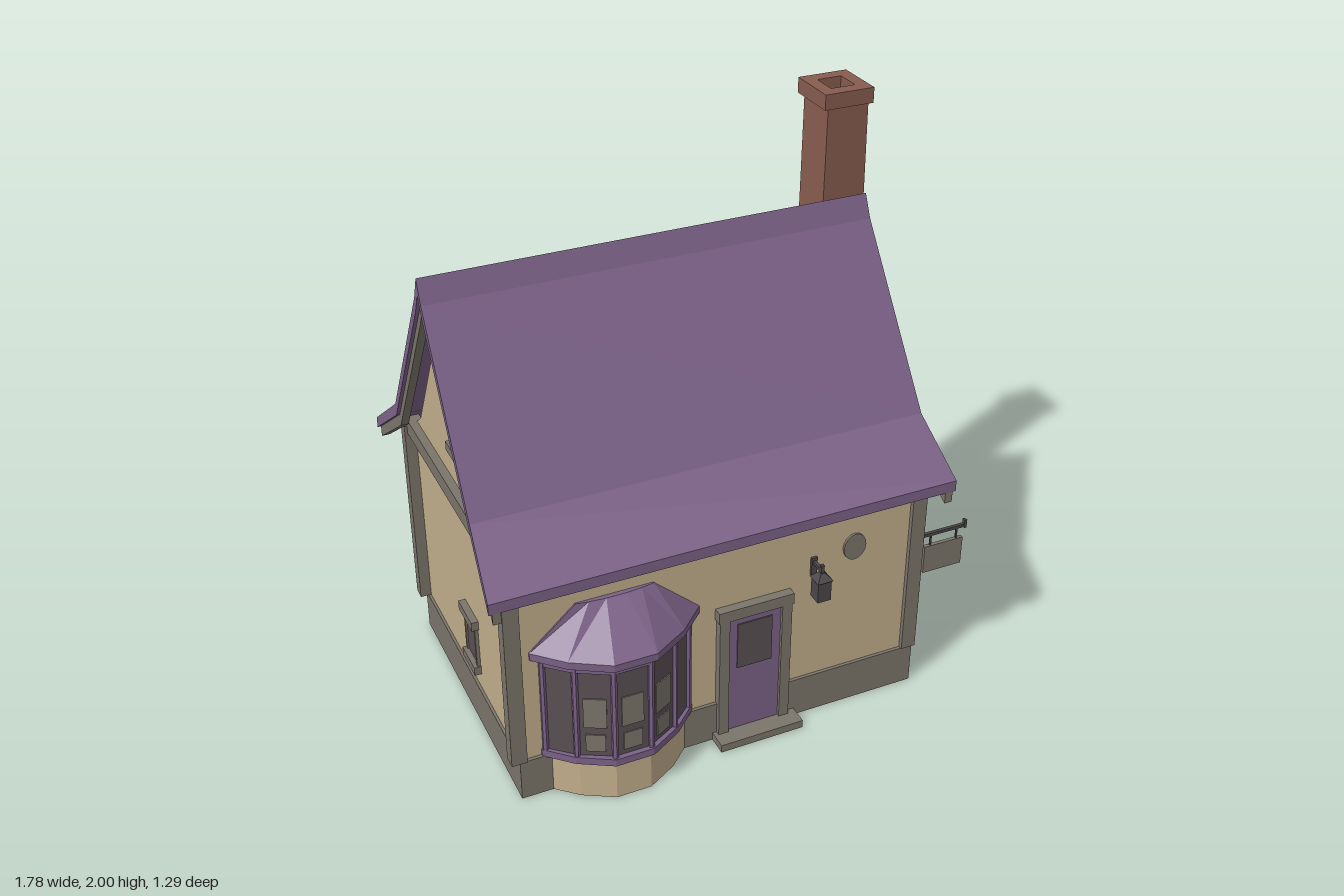
import * as THREE from 'three';

const mat = (name, color) => Object.assign(new THREE.MeshStandardMaterial({ color }), { name, flatShading: true });
const cream = mat('cream plaster', 0xc2ae8c);
const purple = mat('purple paint', 0x7b6187);
const stone = mat('grey stone', 0x7b756a);
const brick = mat('red brick', 0x875c4f);
const glass = mat('dark glass', 0x5a5054);
const iron = mat('dark iron', 0x4c474a);

// Closed solid from matching rings of [x, y, z] points, turned outward by its signed volume
function loft(rings) {
  const tris = [];
  const n = rings[0].length;
  for (let i = 0; i < rings.length - 1; i++) {
    for (let j = 0; j < n; j++) {
      const k = (j + 1) % n;
      const a = rings[i][j], b = rings[i][k], c = rings[i + 1][k], d = rings[i + 1][j];
      tris.push([a, b, c], [a, c, d]);
    }
  }
  const cap = (ring, flip) => {
    const mid = [0, 1, 2].map((q) => ring.reduce((s, p) => s + p[q], 0) / n);
    ring.forEach((p, j) => {
      const next = ring[(j + 1) % n];
      tris.push(flip ? [mid, next, p] : [mid, p, next]);
    });
  };
  cap(rings[0], true);
  cap(rings[rings.length - 1], false);
  const v = (p) => new THREE.Vector3(...p);
  const volume = tris.reduce((s, [a, b, c]) => s + v(a).dot(v(b).cross(v(c))), 0);
  if (volume < 0) tris.forEach((t) => t.reverse());
  const geometry = new THREE.BufferGeometry();
  geometry.setAttribute('position', new THREE.Float32BufferAttribute(tris.flat(2), 3));
  geometry.computeVertexNormals();
  return geometry;
}

export function createModel() {
  const model = new THREE.Group();
  model.name = 'cottage';

  const add = (name, geometry, material, parent = model) => {
    const mesh = new THREE.Mesh(geometry, material);
    mesh.name = name;
    parent.add(mesh);
    return mesh;
  };
  // Box given by its limits on each axis
  const box = (name, material, x0, x1, y0, y1, z0, z1, parent) => {
    const mesh = add(name, new THREE.BoxGeometry(x1 - x0, y1 - y0, z1 - z0), material, parent);
    mesh.position.set((x0 + x1) / 2, (y0 + y1) / 2, (z0 + z1) / 2);
    return mesh;
  };
  // Prism along x from a [z, y] outline
  const prismX = (x0, x1, pts) => loft([x0, x1].map((x) => pts.map(([z, y]) => [x, y, z])));
  const mirrorZ = (z) => -0.075 - z;

  // Walls, plinth and timber frame
  box('plinth', stone, -0.8, 0.69, 0, 0.155, -0.547, 0.487);
  add('walls', prismX(-0.79, 0.682, [
    [0.475, 0.15], [0.475, 0.89], [0.36, 0.97], [-0.0375, 1.61],
    [-0.435, 0.97], [-0.55 + 0.013, 0.89], [-0.537, 0.15],
  ]), cream);
  for (const x of [-0.83, 0.645]) {
    for (const z of [-0.565, 0.445]) box('cornerPost', stone, x, x + 0.055, 0.155, 0.9, z, z + 0.047);
  }
  box('gableBeam', stone, 0.65, 0.695, 0.87, 0.93, -0.55, 0.48);
  box('gableBeam', stone, -0.82, -0.77, 0.87, 0.93, -0.55, 0.48);

  // Roof stations: z, top y, left x, right x, slab depth, bargeboard depth
  const stations = [
    [-0.645, 0.885, -0.895, 0.68, 0.04, 0.04],
    [-0.44, 1.045, -0.872, 0.69, 0.045, 0.045],
    [-0.07, 1.62, -0.868, 0.7, 0.05, 0.045],
    [-0.0375, 1.7, -0.867, 0.703, 0.06, 0.045],
    [-0.005, 1.62, -0.867, 0.706, 0.05, 0.045],
    [0.36, 1.045, -0.872, 0.733, 0.045, 0.045],
    [0.57, 0.89, -0.895, 0.755, 0.04, 0.04],
  ];
  const strip = (z, y, depth, x0, x1) => [[x0, y, z], [x1, y, z], [x1, y - depth, z], [x0, y - depth, z]];
  add('roof', loft(stations.map(([z, y, l, r, d]) => strip(z, y, d, l, r))), purple);
  add('bargeboardRight', loft(stations.map(([z, y, l, , d, b]) => strip(z, y - d, b, l + 0.012, l + 0.04))), stone);
  add('bargeboardLeft', loft(stations.map(([z, y, , r, d, b]) => strip(z, y - d, b, r - 0.04, r - 0.012))), stone);

  // Rafter tails under both eaves
  const tail = [[0.44, 0.95], [0.545, 0.868], [0.545, 0.835], [0.44, 0.905]];
  for (let i = 0; i < 8; i++) {
    const x = -0.665 + i * 0.185;
    add('rafterTail', prismX(x - 0.013, x + 0.013, tail), stone);
    add('rafterTail', prismX(x - 0.013, x + 0.013, tail.map(([z, y]) => [mirrorZ(z), y])), stone);
  }

  // Chimney: broad foot, shoulders and slim stack
  const level = ([y, x0, x1, z0, z1]) => [[x0, y, z0], [x1, y, z0], [x1, y, z1], [x0, y, z1]];
  add('chimney', loft([
    [0, 0.62, 0.845, -0.43, -0.175],
    [0.62, 0.62, 0.84, -0.43, -0.175],
    [0.74, 0.635, 0.812, -0.388, -0.217],
    [1.95, 0.645, 0.8, -0.386, -0.217],
  ].map(level)), brick);
  const rect = (shape, w, d) => shape.moveTo(-w, -d).lineTo(w, -d).lineTo(w, d).lineTo(-w, d).closePath();
  const rim = rect(new THREE.Shape(), 0.093, 0.098);
  rim.holes.push(rect(new THREE.Path(), 0.046, 0.048));
  const cap = add('chimneyCap', new THREE.ExtrudeGeometry(rim, { depth: 0.055, bevelEnabled: false }), brick);
  cap.rotation.x = -Math.PI / 2;
  cap.position.set(0.72, 1.945, -0.303);
  box('flue', glass, 0.674, 0.766, 1.948, 1.954, -0.351, -0.255);

  // Small windows with lintel and sill, facing +z before turning
  const smallWindow = (x, y, z, turn) => {
    const group = new THREE.Group();
    group.name = 'smallWindow';
    box('pane', glass, -0.055, 0.055, -0.09, 0.09, -0.01, 0.006, group);
    box('lintel', stone, -0.07, 0.07, 0.08, 0.115, -0.01, 0.025, group);
    box('sill', stone, -0.065, 0.065, -0.115, -0.082, -0.01, 0.025, group);
    for (const s of [-1, 1]) box('jamb', stone, s * 0.054 - 0.006, s * 0.054 + 0.006, -0.085, 0.085, -0.01, 0.012, group);
    group.position.set(x, y, z);
    group.rotation.y = turn;
    model.add(group);
  };
  for (const y of [0.338, 1.183]) {
    smallWindow(0.682, y, 0.016, Math.PI / 2);
    smallWindow(-0.79, y, 0.016, -Math.PI / 2);
  }
  smallWindow(-0.05, 0.62, -0.537, Math.PI);

  // Bay window: five-sided plan scaled by half width and depth
  const bay = new THREE.Group();
  bay.name = 'bayWindow';
  model.add(bay);
  const plan = [[-1, 0], [-0.68, 0.55], [-0.25, 1], [0.25, 1], [0.68, 0.55], [1, 0]];
  const bayRing = (y, half, depth) => [
    ...plan.map(([x, z]) => [-0.448 + x * half, y, 0.48 + z * depth]),
    [-0.448 + half, y, 0.46], [-0.448 - half, y, 0.46],
  ];
  const bayPart = (name, material, ...levels) => add(name, loft(levels.map((l) => bayRing(...l))), material, bay);
  bayPart('bayBase', cream, [0, 0.248, 0.132], [0.155, 0.248, 0.132]);
  bayPart('baySill', purple, [0.152, 0.272, 0.148], [0.18, 0.272, 0.148]);
  bayPart('bayGlass', glass, [0.18, 0.255, 0.13], [0.54, 0.255, 0.13]);
  bayPart('bayHead', purple, [0.53, 0.268, 0.142], [0.565, 0.268, 0.142]);
  bayPart('bayRoof', purple, [0.562, 0.297, 0.168], [0.59, 0.297, 0.168], [0.735, 0.135, 0.012]);
  const corners = bayRing(0.36, 0.258, 0.133).slice(0, 6);
  corners.forEach(([x, y, z], i) => {
    const mullion = add('mullion', new THREE.CylinderGeometry(0.011, 0.011, 0.37, 6), purple, bay);
    mullion.position.set(x, y, z);
    if (i === 5) return;
    const [x2, , z2] = corners[i + 1];
    // Wares showing behind the three front panes
    if (i > 0 && i < 4) {
      for (const [low, high, size] of [[0.2, 0.27, 0.6], [0.3, 0.42, 0.7]]) {
        const wares = add('displayedWares', new THREE.BoxGeometry(0.11 * size, high - low, 0.006), stone, bay);
        wares.position.set((x + x2) / 2, (low + high) / 2, (z + z2) / 2 - 0.002);
        wares.rotation.y = -Math.atan2(z2 - z, x2 - x);
      }
    }
  });

  // Door, frame and step
  box('doorStep', stone, -0.1, 0.215, 0, 0.03, 0.47, 0.56);
  box('doorFrame', stone, -0.085, -0.048, 0.03, 0.515, 0.47, 0.505);
  box('doorFrame', stone, 0.148, 0.185, 0.03, 0.515, 0.47, 0.505);
  box('doorLintel', stone, -0.09, 0.19, 0.512, 0.555, 0.47, 0.508);
  box('door', purple, -0.05, 0.15, 0.03, 0.514, 0.46, 0.493);
  box('doorPane', glass, -0.015, 0.115, 0.295, 0.48, 0.49, 0.497);

  // Round wall plaque
  const plaque = add('wallPlaque', new THREE.CylinderGeometry(0.043, 0.043, 0.009, 16), stone);
  plaque.rotation.x = Math.PI / 2;
  plaque.scale.z = 1.2;
  plaque.position.set(0.43, 0.66, 0.479);

  // Lantern on its bracket
  box('lanternBody', iron, 0.25, 0.3, 0.53, 0.61, 0.51, 0.56);
  const lid = add('lanternLid', new THREE.CylinderGeometry(0.012, 0.042, 0.025, 4), iron);
  lid.rotation.y = Math.PI / 4;
  lid.position.set(0.275, 0.622, 0.535);
  box('lanternHook', iron, 0.269, 0.281, 0.63, 0.665, 0.529, 0.541);
  box('lanternBracket', iron, 0.269, 0.281, 0.636, 0.648, 0.475, 0.535);
  box('lanternMount', iron, 0.264, 0.286, 0.59, 0.66, 0.474, 0.484);

  // Blank hanging sign on a rod
  box('signRod', iron, 0.69, 0.885, 0.606, 0.618, 0.459, 0.471);
  box('signRodTip', iron, 0.877, 0.887, 0.602, 0.634, 0.458, 0.472);
  box('signMount', iron, 0.695, 0.708, 0.58, 0.64, 0.455, 0.475);
  for (const x of [0.745, 0.85]) box('signHanger', iron, x - 0.003, x + 0.003, 0.56, 0.608, 0.462, 0.468);
  box('signBoard', stone, 0.72, 0.875, 0.455, 0.565, 0.458, 0.472);

  return model;
}
